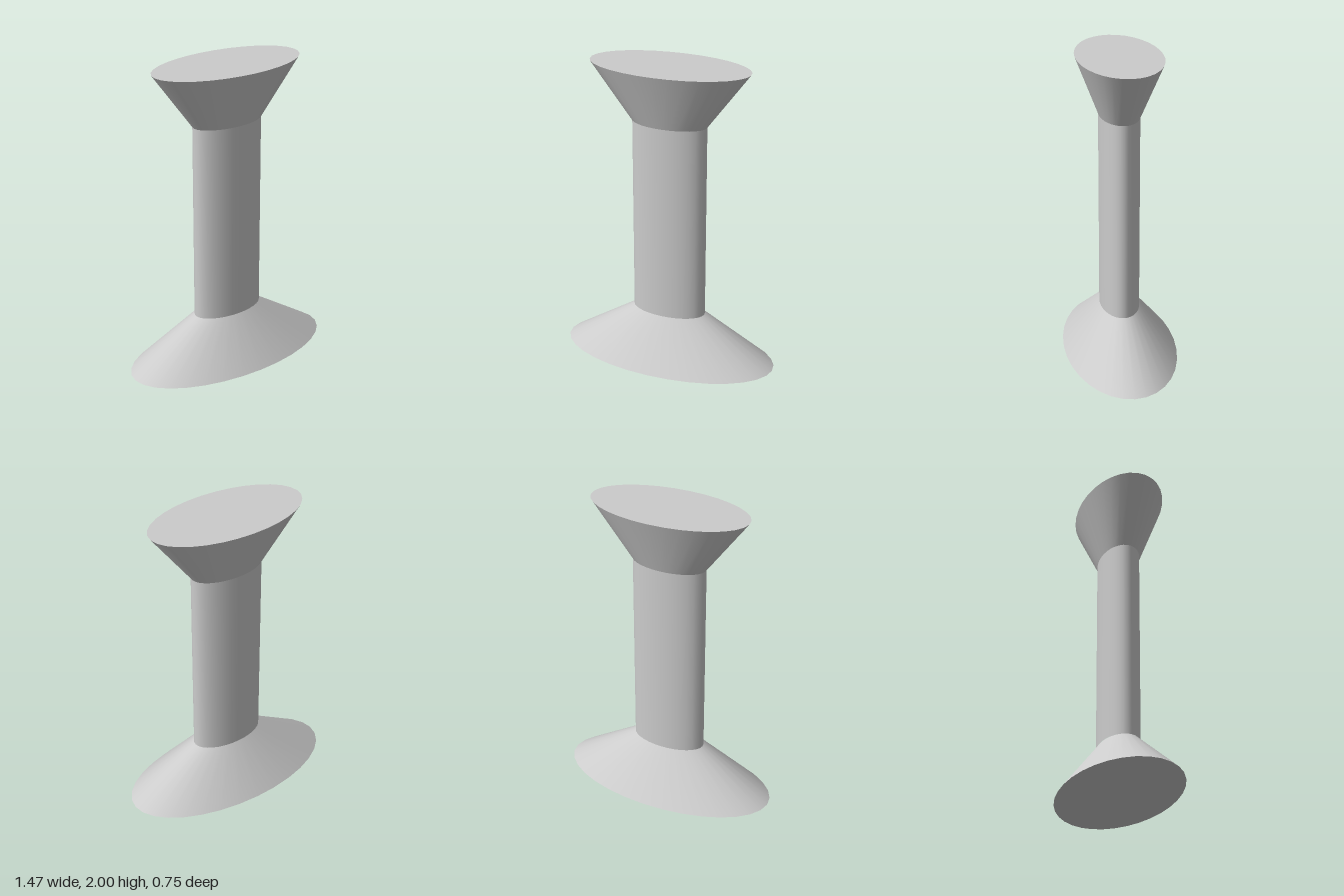
import * as THREE from 'three';

const SIDES = 32;

export function createModel() {
  const group = new THREE.Group();
  const material = new THREE.MeshStandardMaterial({ color: 0xcccccc });

  // Elliptical frustum between two heights; radii are [x, z] pairs
  function addFrustum(name, y0, y1, bottom, top, openEnded = false) {
    const geometry = new THREE.CylinderGeometry(top[0], bottom[0], y1 - y0, SIDES, 1, openEnded);
    geometry.scale(1, 1, bottom[1] / bottom[0]);
    geometry.translate(0, (y0 + y1) / 2, 0);
    const mesh = new THREE.Mesh(geometry, material);
    mesh.name = name;
    group.add(mesh);
  }

  const neck = [0.25, 0.13];
  // Wide flared foot
  addFrustum('base', 0, 0.315, [0.735, 0.376], neck);
  // Straight oval shaft
  addFrustum('shaft', 0.315, 1.625, neck, neck, true);
  // Flared head with a flat top
  addFrustum('head', 1.625, 2, neck, [0.53, 0.273]);

  return group;
}
